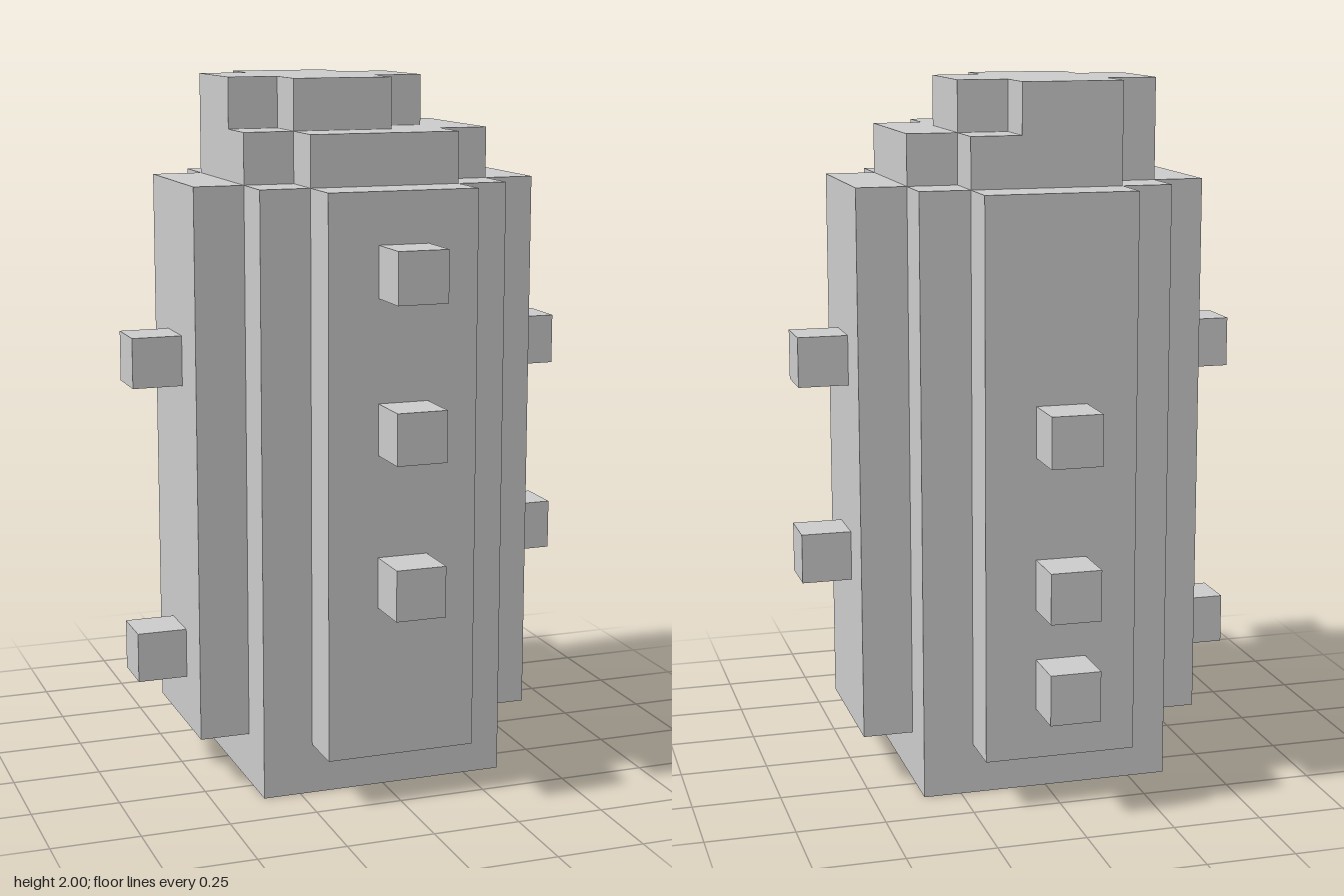
import * as THREE from 'three';

const U = 1 / 7; // one block
const material = new THREE.MeshStandardMaterial({ color: 0xcccccc, flatShading: true });

// Box given by its lower and upper corners, in blocks
function block(name, [x0, y0, z0], [x1, y1, z1]) {
  const geometry = new THREE.BoxGeometry((x1 - x0) * U, (y1 - y0) * U, (z1 - z0) * U);
  geometry.translate((x0 + x1) / 2 * U, (y0 + y1) / 2 * U, (z0 + z1) / 2 * U);
  const mesh = new THREE.Mesh(geometry, material);
  mesh.name = name;
  return mesh;
}

// Square slab spanning a..b in x and z, with one block notched out of each corner
function notchedSlab(name, a, b, y) {
  const shape = new THREE.Shape([
    [a + 1, a], [b - 1, a], [b - 1, a + 1], [b, a + 1], [b, b - 1], [b - 1, b - 1],
    [b - 1, b], [a + 1, b], [a + 1, b - 1], [a, b - 1], [a, a + 1], [a + 1, a + 1],
  ].map(([x, z]) => new THREE.Vector2(x * U, -z * U)));
  const geometry = new THREE.ExtrudeGeometry(shape, { depth: U, bevelEnabled: false });
  geometry.rotateX(-Math.PI / 2).translate(0, y * U, 0);
  const mesh = new THREE.Mesh(geometry, material);
  mesh.name = name;
  return mesh;
}

export function createModel() {
  const model = new THREE.Group();
  model.name = 'blockTower';

  // Square core and stepped top; the cap sits half a block off centre
  model.add(block('core', [-2.5, 0, -2.5], [2.5, 12, 2.5]));
  model.add(notchedSlab('shoulder', -2.5, 2.5, 12));
  model.add(notchedSlab('cap', -2.5, 1.5, 13));

  // Raised panel with studs on each side; numbers are stud bottoms in blocks
  const sides = [
    { name: 'front', turn: 0, studs: [4, 7, 10] },
    { name: 'left', turn: 1, studs: [4, 8] },
    { name: 'back', turn: 2, studs: [2, 4, 7] },
    { name: 'right', turn: 3, studs: [2, 8] },
  ];
  for (const { name, turn, studs } of sides) {
    const side = new THREE.Group();
    side.name = name + 'Side';
    side.add(block(name + 'Panel', [-1.5, 1, 2.5], [1.5, 12, 3.5]));
    for (const y of studs) side.add(block(name + 'Stud', [-0.5, y, 3.5], [0.5, y + 1, 4.5]));
    side.rotation.y = turn * Math.PI / 2;
    model.add(side);
  }
  return model;
}
